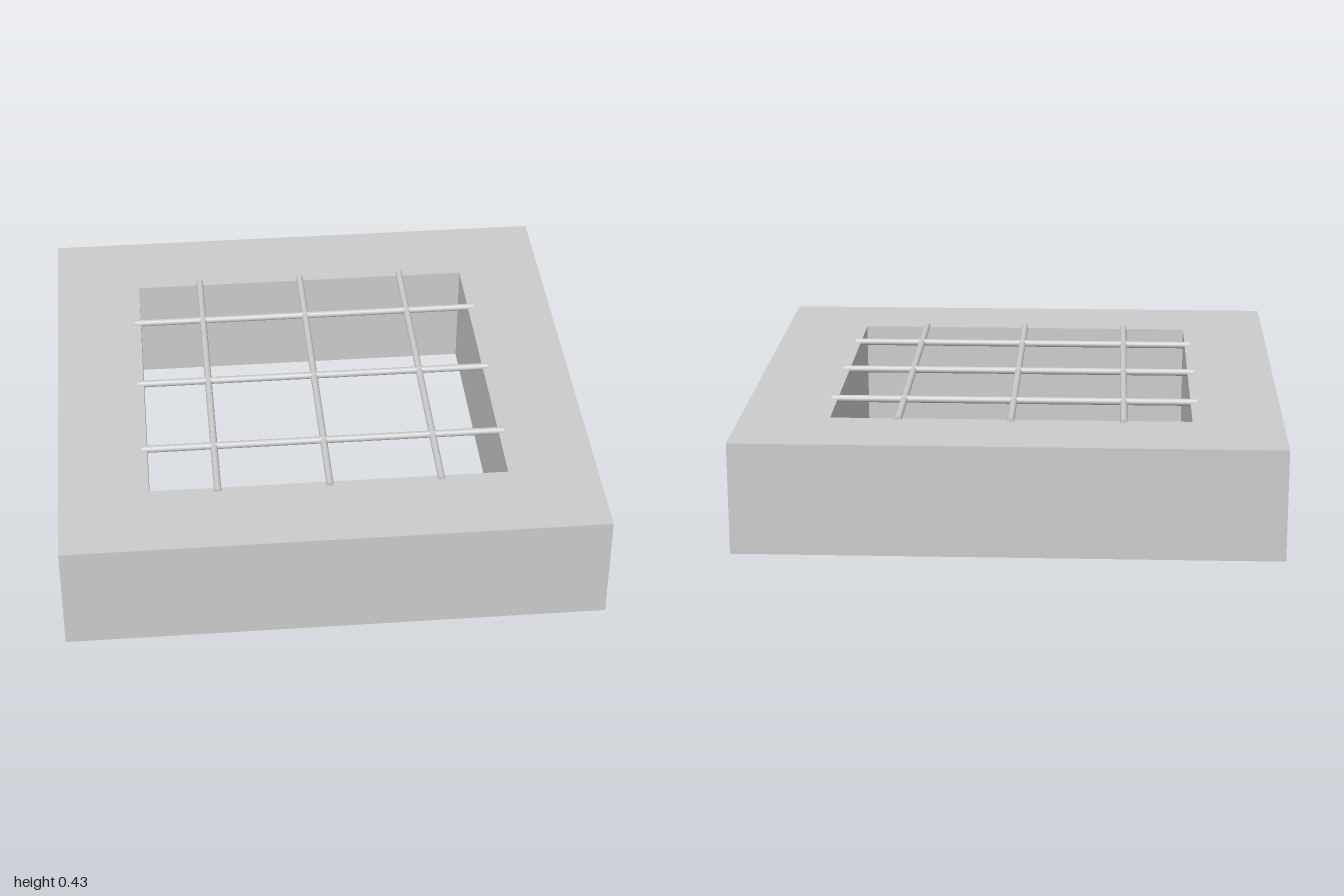
import * as THREE from 'three';

const HEIGHT = 0.417, OUTER = 1, INNER = 0.667;
const BAR_RADIUS = 0.0135, BAR_LENGTH = 1.38, BAR_SPACING = 0.415;

export function createModel() {
  const model = new THREE.Group();
  const shell = new THREE.MeshStandardMaterial({ color: 0xcccccc, side: THREE.DoubleSide });
  const metal = new THREE.MeshStandardMaterial({ color: 0xcccccc });

  const add = (parent, name, geometry, material) => {
    const mesh = new THREE.Mesh(geometry, material);
    mesh.name = name;
    parent.add(mesh);
    return mesh;
  };

  // Flat square top with a square opening
  const square = (Type, h) => new Type([[-h, -h], [h, -h], [h, h], [-h, h]].map(p => new THREE.Vector2(...p)));
  const top = square(THREE.Shape, OUTER);
  top.holes.push(square(THREE.Path, INNER));
  add(model, 'topFrame', new THREE.ShapeGeometry(top).rotateX(-Math.PI / 2).translate(0, HEIGHT, 0), shell);

  // Thin outer and inner walls; the underside between them is open
  const addWalls = (name, half, facing) => {
    const walls = new THREE.Group();
    walls.name = name;
    for (let i = 0; i < 4; i++) {
      const wall = new THREE.PlaneGeometry(2 * half, HEIGHT);
      if (facing < 0) wall.rotateY(Math.PI);
      wall.translate(0, HEIGHT / 2, half).rotateY(i * Math.PI / 2);
      add(walls, 'wall', wall, shell);
    }
    model.add(walls);
  };
  addWalls('outerWalls', OUTER, 1);
  addWalls('innerWalls', INNER, -1);

  // Round grate bars, half sunk into the top and crossing at the same level
  const grate = new THREE.Group();
  grate.name = 'grate';
  const bar = new THREE.CylinderGeometry(BAR_RADIUS, BAR_RADIUS, BAR_LENGTH, 16);
  for (const i of [-1, 0, 1]) {
    const across = add(grate, 'crossBar', bar, metal);
    across.rotation.z = Math.PI / 2;
    across.position.set(0, HEIGHT, i * BAR_SPACING);
    const along = add(grate, 'lengthBar', bar, metal);
    along.rotation.x = Math.PI / 2;
    along.position.set(i * BAR_SPACING, HEIGHT, 0);
  }
  model.add(grate);

  return model;
}
